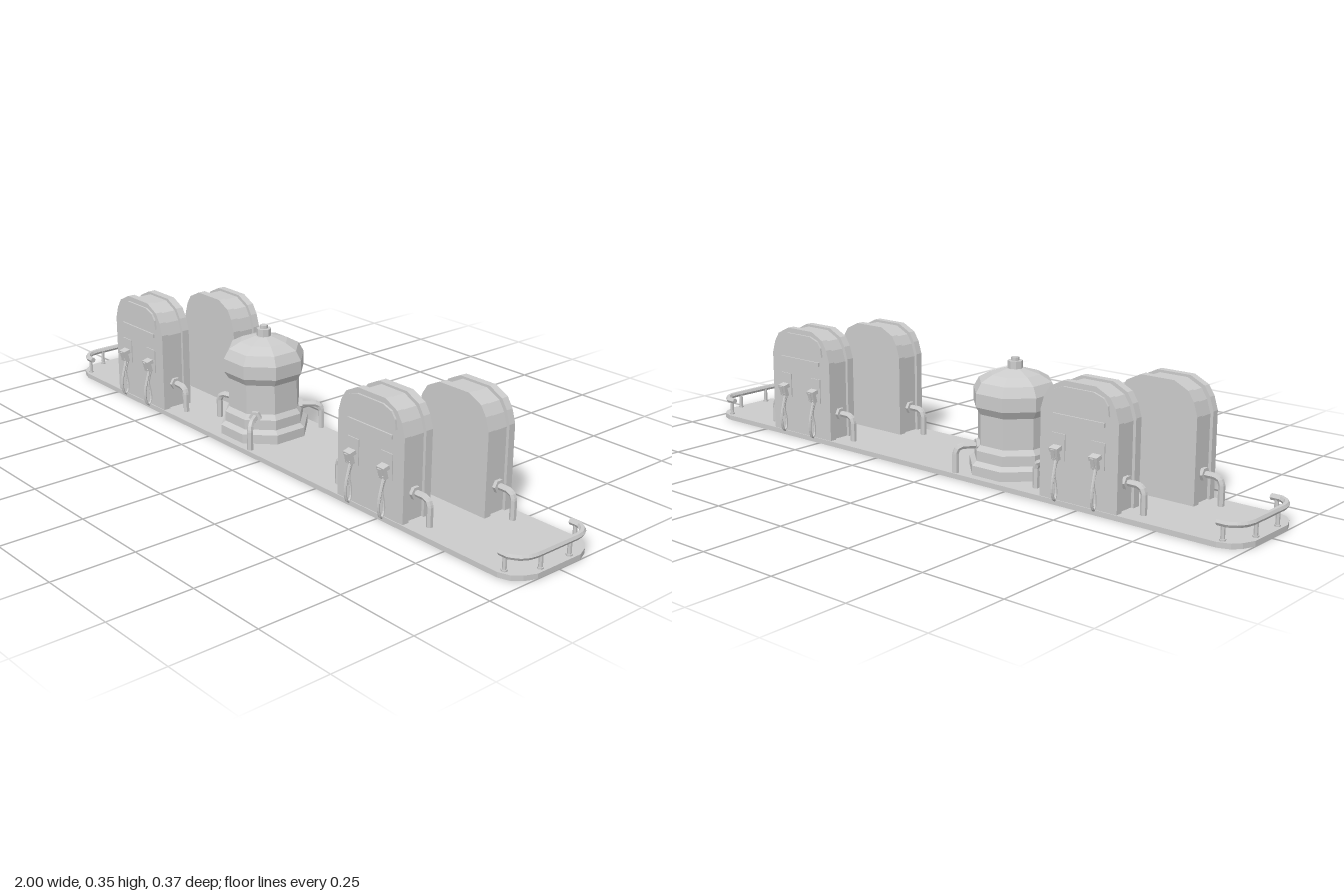
import * as THREE from 'three';

const mat = new THREE.MeshStandardMaterial({ color: 0xcccccc, flatShading: true });
const DECK = 0.015;

function add(parent, name, geometry, x = 0, y = 0, z = 0) {
  const mesh = new THREE.Mesh(geometry, mat);
  mesh.name = name;
  mesh.position.set(x, y, z);
  parent.add(mesh);
  return mesh;
}

function polygon(points) {
  return new THREE.Shape(points.map(([x, y]) => new THREE.Vector2(x, y)));
}

function extrude(points, depth) {
  return new THREE.ExtrudeGeometry(polygon(points), { depth, bevelEnabled: false });
}

// Tube through straight segments, closed at both ends
function pipe(parent, name, points, radius, sides, segments, curved = false) {
  const v = points.map((p) => new THREE.Vector3(...p));
  let curve;
  if (curved) curve = new THREE.CatmullRomCurve3(v);
  else {
    curve = new THREE.CurvePath();
    for (let i = 1; i < v.length; i++) curve.add(new THREE.LineCurve3(v[i - 1], v[i]));
  }
  const g = new THREE.Group();
  g.name = name;
  add(g, name + 'Tube', new THREE.TubeGeometry(curve, segments, radius, sides));
  for (const [t, s] of [[0, -1], [1, 1]]) {
    const cap = add(g, name + 'End', new THREE.CircleGeometry(radius, sides));
    cap.position.copy(curve.getPoint(t));
    cap.lookAt(cap.position.clone().addScaledVector(curve.getTangent(t), s));
  }
  parent.add(g);
  return g;
}

// Elbow pipe leaving a wall along +x and turning down into the deck
function elbow(name, reach) {
  const g = new THREE.Group();
  g.name = name;
  const y = 0.093, b = 0.02;
  pipe(g, 'elbowPipe', [[-0.02, y, 0], [reach - b, y, 0], [reach - b * 0.3, y - b * 0.3, 0],
    [reach, y - b, 0], [reach, DECK - 0.005, 0]], 0.0095, 6, 40);
  const flange = add(g, 'pipeFlange', new THREE.CylinderGeometry(0.019, 0.019, 0.012, 6), 0.004, y, 0);
  flange.rotation.z = Math.PI / 2;
  return g;
}

// Arched outline of the pump, symmetric about x = 0
function archOutline(half, top) {
  const right = [[half, DECK], [half, top - 0.088], [half - 0.012, top - 0.05],
    [half - 0.03, top - 0.022], [half - 0.075, top]];
  return [...right, ...right.slice().reverse().map(([x, y]) => [-x, y])];
}

function makePump() {
  const pump = new THREE.Group();
  pump.name = 'fuelPump';
  add(pump, 'pumpCore', extrude(archOutline(0.119, 0.341), 0.07), 0, 0, 0.06);
  add(pump, 'innerPlate', extrude(archOutline(0.128, 0.348), 0.024), 0, 0, 0.046);
  add(pump, 'outerPlate', extrude(archOutline(0.128, 0.348), 0.022), 0, 0, 0.125);

  // Display panel and ledge on the face
  add(pump, 'displayPanel', extrude([[-0.1, 0.275], [0.1, 0.275], [0.096, 0.303], [0.082, 0.322],
    [0.05, 0.333], [-0.05, 0.333], [-0.082, 0.322], [-0.096, 0.303]], 0.007), 0, 0, 0.146);
  add(pump, 'faceLedge', new THREE.BoxGeometry(0.17, 0.012, 0.006), 0, 0.25, 0.149);

  // Nozzles with hanging hoses
  for (const x of [-0.065, 0.065]) {
    const unit = new THREE.Group();
    unit.name = 'nozzleUnit';
    unit.position.x = x;
    add(unit, 'holsterPlate', new THREE.BoxGeometry(0.044, 0.075, 0.004), 0, 0.165, 0.148);
    const nozzle = new THREE.Group();
    nozzle.name = 'nozzle';
    nozzle.position.set(0, 0.148, 0.16);
    nozzle.rotation.x = 0.25;
    add(nozzle, 'nozzleBody', new THREE.BoxGeometry(0.018, 0.038, 0.012));
    add(nozzle, 'nozzleHead', new THREE.BoxGeometry(0.028, 0.012, 0.022), 0, 0.014, -0.002);
    add(nozzle, 'nozzleGuard', new THREE.BoxGeometry(0.012, 0.028, 0.003), 0, 0.004, 0.012);
    add(nozzle, 'guardFoot', new THREE.BoxGeometry(0.012, 0.003, 0.01), 0, -0.009, 0.009);
    unit.add(nozzle);
    pipe(unit, 'hose', [[0, 0.135, 0.157], [0.002, 0.108, 0.167], [0.004, 0.075, 0.177], [0.004, 0.042, 0.178],
      [0.002, 0.02, 0.167], [-0.002, 0.026, 0.155], [-0.006, 0.058, 0.151], [-0.008, 0.09, 0.156],
      [-0.006, 0.12, 0.15], [-0.004, 0.135, 0.144]], 0.0042, 6, 24, true);
    pump.add(unit);
  }

  // Pipes on both flanks
  for (const s of [1, -1]) {
    const p = elbow('sidePipe', 0.06);
    p.position.set(s * 0.119, 0, 0.099);
    if (s < 0) p.rotation.y = Math.PI;
    pump.add(p);
  }
  return pump;
}

function makeTank() {
  const tank = new THREE.Group();
  tank.name = 'storageTank';
  // Octagonal profile with flats facing the axes
  const k = 1 / Math.cos(Math.PI / 8);
  const profile = [[0, DECK], [0.126, DECK], [0.126, 0.043], [0.113, 0.055], [0.113, 0.085], [0.102, 0.1],
    [0.102, 0.19], [0.115, 0.212], [0.115, 0.252], [0.1, 0.281], [0.068, 0.3], [0.025, 0.314], [0, 0.314]];
  add(tank, 'tankBody', new THREE.LatheGeometry(
    profile.map(([r, y]) => new THREE.Vector2(r * k, y)), 8, Math.PI / 8));
  add(tank, 'capBase', new THREE.CylinderGeometry(0.022, 0.022, 0.026, 8), 0, 0.323, 0);
  add(tank, 'capTop', new THREE.CylinderGeometry(0.012, 0.012, 0.012, 8), 0, 0.34, 0);
  for (const deg of [53, -53, 165]) {
    const a = THREE.MathUtils.degToRad(deg);
    const p = elbow('tankPipe', 0.068);
    p.position.set(Math.cos(a) * 0.105, 0, Math.sin(a) * 0.105);
    p.rotation.y = -a;
    tank.add(p);
  }
  return tank;
}

function makeRailing() {
  const rail = new THREE.Group();
  rail.name = 'endRailing';
  const half = [[0.92, 0.133], [0.95, 0.133], [0.972, 0.118], [0.984, 0.098], [0.988, 0.075]];
  const path = [...half, ...half.slice().reverse().map(([x, z]) => [x, -z])];
  pipe(rail, 'handrail', path.map(([x, z]) => [x, 0.061, z]), 0.009, 6, 60);
  for (const s of [1, -1]) {
    for (const [x, z] of [[0.937, 0.132], [0.985, 0.054]]) {
      add(rail, 'railPost', new THREE.CylinderGeometry(0.006, 0.006, 0.05, 6), x, 0.036, s * z);
      add(rail, 'postFoot', new THREE.CylinderGeometry(0.009, 0.009, 0.005, 6), x, 0.017, s * z);
    }
  }
  return rail;
}

export function createModel() {
  const model = new THREE.Group();
  model.name = 'fuelStation';

  // Long deck with clipped corners
  const corner = [[1, 0.08], [0.985, 0.115], [0.965, 0.138], [0.93, 0.15]];
  const mirror = (pts, sx, sz) => pts.map(([x, z]) => [x * sx, z * sz]);
  const back = corner.slice().reverse();
  const outline = [...corner, ...mirror(back, -1, 1), ...mirror(corner, -1, -1), ...mirror(back, 1, -1)];
  add(model, 'deck', extrude(outline, DECK).rotateX(-Math.PI / 2));

  // Pumps: one front and one back row
  for (const [x, facing] of [[-0.612, 1], [0.467, 1], [-0.5, -1], [0.577, -1]]) {
    const pump = makePump();
    pump.position.x = x;
    if (facing < 0) pump.rotation.y = Math.PI;
    model.add(pump);
  }

  const tank = makeTank();
  tank.position.x = -0.163;
  model.add(tank);

  for (const s of [1, -1]) {
    const rail = makeRailing();
    if (s < 0) rail.rotation.y = Math.PI;
    model.add(rail);
  }
  return model;
}
